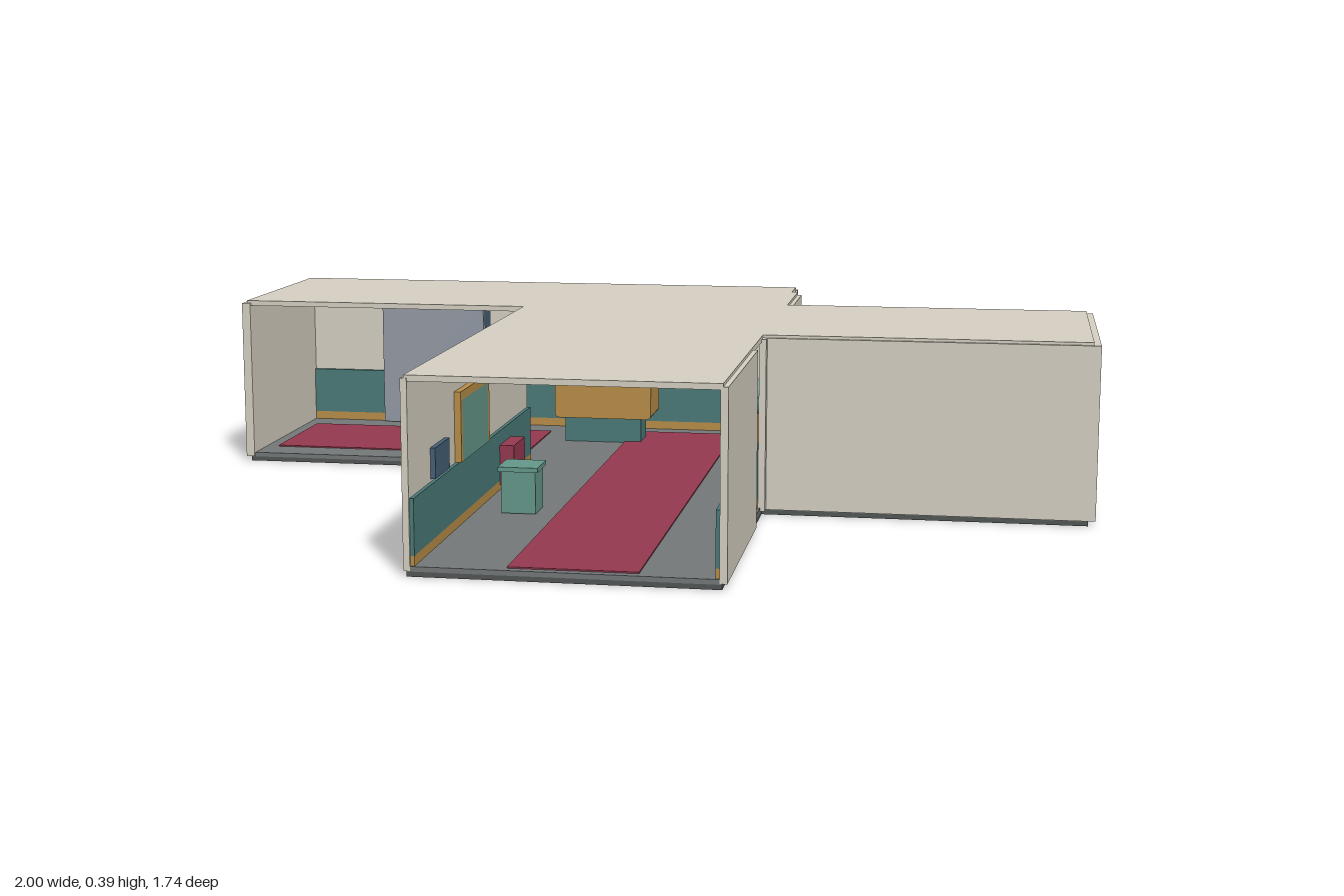
import * as THREE from 'three';

const mat = (name, color) => {
  const m = new THREE.MeshStandardMaterial({ color });
  m.name = name;
  return m;
};

export function createModel() {
  const M = {
    wall: mat('warm grey panel', 0xd8d2c4),
    floor: mat('floor grey', 0x75797a),
    dark: mat('underside charcoal', 0x535756),
    blue: mat('slate blue', 0x466078),
    steel: mat('steel grey', 0x959ca7),
    teal: mat('deep teal', 0x4b7b7a),
    green: mat('soft green', 0x669a8c),
    ochre: mat('ochre', 0xba8f49),
    red: mat('crimson', 0x963a50),
  };
  const model = new THREE.Group();
  model.name = 'corridorJunction';

  const add = (name, geo, m, parent = model) => {
    const mesh = new THREE.Mesh(geo, m);
    mesh.name = name;
    parent.add(mesh);
    return mesh;
  };
  // box given by its limits on each axis
  const box = (name, m, x0, x1, y0, y1, z0, z1, parent = model) => {
    const b = add(name, new THREE.BoxGeometry(x1 - x0, y1 - y0, z1 - z0), m, parent);
    b.position.set((x0 + x1) / 2, (y0 + y1) / 2, (z0 + z1) / 2);
    return b;
  };
  const group = (name) => {
    const g = new THREE.Group();
    g.name = name;
    model.add(g);
    return g;
  };

  // floor plan shared by underside, floor and roof
  const plan = [
    [-0.99, -0.64], [0.28, -0.64], [0.28, -0.54], [0.295, -0.54], [0.295, -0.292], [0.985, -0.292],
    [0.985, 0.222], [0.295, 0.222], [0.295, 0.868], [-0.312, 0.868], [-0.312, -0.157], [-0.99, -0.157],
  ];
  const shape = new THREE.Shape(plan.map(([x, z]) => new THREE.Vector2(x, -z)));
  const slab = (name, m, y0, y1) => {
    const g = new THREE.ExtrudeGeometry(shape, { depth: y1 - y0, bevelEnabled: false });
    g.rotateX(-Math.PI / 2);
    add(name, g, m).position.y = y0;
  };
  slab('underside', M.dark, 0, 0.01);
  slab('floor', M.floor, 0.01, 0.02);
  slab('roof', M.wall, 0.378, 0.39);

  // outer walls: x0, x1, z0, z1
  const walls = group('walls');
  [
    [-1, -0.98, -0.648, -0.15],
    [-0.98, -0.74, -0.648, -0.635],
    [-0.51, -0.26, -0.648, -0.635],
    [-0.18, 0.285, -0.648, -0.635],
    [0.28, 0.305, -0.535, -0.285],
    [0.305, 0.98, -0.299, -0.285],
    [0.98, 1, -0.299, 0.229],
    [0.305, 0.98, 0.215, 0.229],
    [0.29, 0.305, 0.215, 0.25],
    [0.29, 0.305, 0.4, 0.87],
    [-0.318, -0.305, -0.155, 0.255],
    [-0.318, -0.305, 0.375, 0.87],
  ].forEach(([x0, x1, z0, z1]) => box('wallPanel', M.wall, x0, x1, 0.012, 0.384, z0, z1, walls));

  // wainscot with a skirting board along the inner faces
  const trim = group('wainscot');
  [
    [-0.98, -0.79, -0.635, -0.626],
    [-0.52, 0.28, -0.635, -0.626],
    [-0.305, -0.297, -0.155, 0.865],
    [0.282, 0.29, 0.225, 0.865],
  ].forEach(([x0, x1, z0, z1]) => {
    box('wainscotPanel', M.teal, x0, x1, 0.04, 0.152, z0, z1, trim);
    box('skirting', M.ochre, x0, x1, 0.02, 0.04, z0, z1, trim);
  });

  // floor runners
  box('runnerLong', M.red, -0.12, 0.135, 0.02, 0.023, -0.57, 0.85);
  box('runnerSide', M.red, -0.95, -0.33, 0.02, 0.023, -0.54, -0.24);
  box('runnerWing', M.red, 0.33, 0.94, 0.02, 0.023, -0.16, 0.09);

  // equipment locker pushed through the back wall
  const locker = group('locker');
  box('lockerBody', M.blue, -0.775, -0.527, 0.018, 0.342, -0.87, -0.62, locker);
  box('lockerDoor', M.steel, -0.787, -0.52, 0.022, 0.349, -0.625, -0.605, locker);
  box('lockerBeacon', M.blue, -0.692, -0.612, 0.349, 0.356, -0.625, -0.605, locker);
  box('beaconCap', M.ochre, -0.688, -0.616, 0.356, 0.37, -0.625, -0.605, locker);

  // wall intercom
  const intercom = group('intercom');
  box('intercomBody', M.blue, -0.512, -0.476, 0.125, 0.21, -0.635, -0.612, intercom);
  box('intercomHandset', M.blue, -0.495, -0.478, 0.095, 0.14, -0.63, -0.6, intercom);

  // boards on the side walls, edged on the top and both ends
  const board = (name, x0, x1, z0, z1) => {
    const g = group(name);
    box('boardFace', M.green, x0, x1, 0.153, 0.282, z0 + 0.014, z1 - 0.014, g);
    box('boardTopRail', M.ochre, x0, x1, 0.282, 0.3, z0, z1, g);
    for (const z of [z0, z1 - 0.014]) box('boardStile', M.ochre, x0, x1, 0.153, 0.282, z, z + 0.014, g);
  };
  board('noticeBoardLeftWall', -0.305, -0.291, 0.275, 0.52);
  board('noticeBoardRightWall', 0.276, 0.29, 0.48, 0.72);
  box('wallScreen', M.blue, -0.305, -0.295, 0.158, 0.22, 0.6, 0.71);

  // reception counter with softened corners
  const [w, h, r] = [0.12, 0.055, 0.012];
  const front = new THREE.Shape();
  front.moveTo(-w + r, -h);
  front.lineTo(w - r, -h);
  front.quadraticCurveTo(w, -h, w, -h + r);
  front.lineTo(w, h - r);
  front.quadraticCurveTo(w, h, w - r, h);
  front.lineTo(-w + r, h);
  front.quadraticCurveTo(-w, h, -w, h - r);
  front.lineTo(-w, -h + r);
  front.quadraticCurveTo(-w, -h, -w + r, -h);
  add('counter', new THREE.ExtrudeGeometry(front, { depth: 0.13, bevelEnabled: false, curveSegments: 4 }), M.ochre)
    .position.set(-0.17, 0.139, -0.53);
  box('counterPlinth', M.teal, -0.27, -0.08, 0.02, 0.084, -0.51, -0.43);

  // stool and storage bin
  const stool = group('stool');
  box('stoolBase', M.green, -0.238, -0.164, 0.022, 0.112, 0.322, 0.398, stool);
  box('stoolTop', M.green, -0.244, -0.158, 0.112, 0.122, 0.316, 0.404, stool);
  box('storageBin', M.red, -0.297, -0.265, 0.03, 0.12, 0.05, 0.16);

  // potted plant
  const plant = group('plant');
  plant.position.set(0.19, 0.02, -0.51);
  add('pot', new THREE.CylinderGeometry(0.041, 0.036, 0.075, 16), M.ochre, plant).position.y = 0.0375;
  [[0, 0.12, 0, 0.038], [-0.03, 0.095, 0, 0.028], [0.03, 0.095, 0, 0.028], [0, 0.095, -0.026, 0.028], [0, 0.095, 0.024, 0.026]]
    .forEach(([x, y, z, s]) => add('foliage', new THREE.SphereGeometry(s, 16, 12), M.green, plant).position.set(x, y, z));

  // ceiling lights
  [[-0.25, -0.11, -0.4], [-0.07, 0.06, 0], [-0.07, 0.06, 0.5]]
    .forEach(([x0, x1, z]) => box('ceilingLight', M.steel, x0, x1, 0.37, 0.379, z - 0.06, z + 0.06));

  return model;
}
